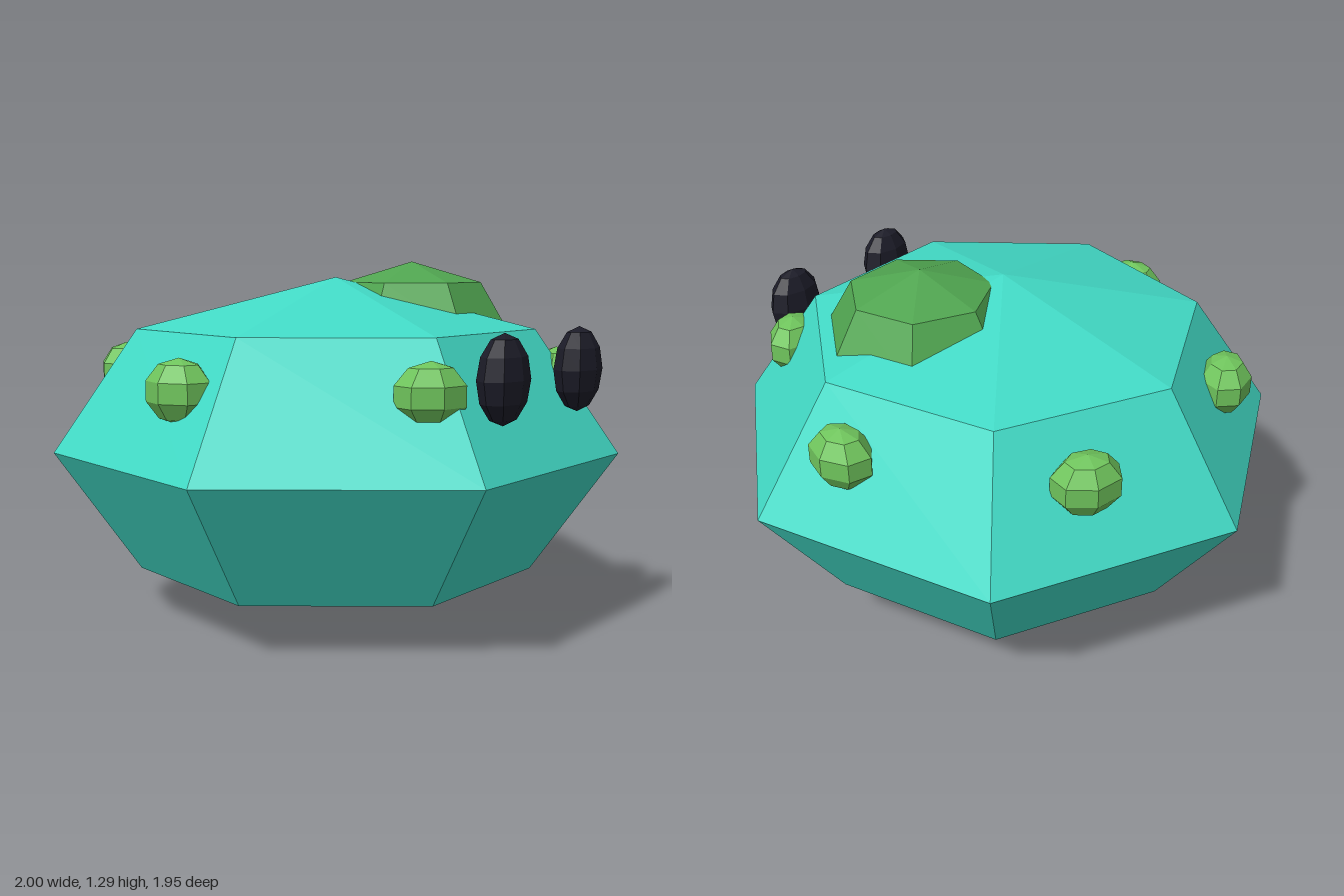
import * as THREE from 'three';

// Faceted ellipsoid, one flat normal per face; turn spins its vertices about the pole
function facetedBall(sides, rows, turn, rx, ry, rz) {
  const ball = new THREE.SphereGeometry(1, sides, rows);
  ball.rotateY(turn);
  ball.scale(rx, ry, rz);
  const flat = ball.toNonIndexed();
  flat.computeVertexNormals();
  return flat;
}

function colour(name, hex) {
  const material = new THREE.MeshStandardMaterial({ color: hex, flatShading: true });
  material.name = name;
  return material;
}

export function createModel() {
  const model = new THREE.Group();
  model.name = 'roundCreature';

  const turquoise = colour('turquoise', 0x42dac6);
  const darkGreen = colour('darkGreen', 0x50a550);
  const lightGreen = colour('lightGreen', 0x6fc45c);
  const black = colour('black', 0x1c1c28);

  const add = (name, geometry, material, x, y, z) => {
    const mesh = new THREE.Mesh(geometry, material);
    mesh.name = name;
    mesh.position.set(x, y, z);
    model.add(mesh);
    return mesh;
  };

  const centreZ = 0.048;

  // Seven-sided body with one corner at the back
  add('body', facetedBall(7, 4, -Math.PI / 2, 1.025, 0.615, 1.025), turquoise, 0, 0.615, centreZ);

  // Mossy patch sunk into the top
  add('topPatch', facetedBall(7, 4, -Math.PI / 2, 0.363, 0.256, 0.363), darkGreen, 0.245, 1.03, 0.215);

  // Six bumps round the upper slope, each flattened towards the body
  const bump = facetedBall(7, 5, Math.PI, 0.098, 0.108, 0.127);
  for (let i = 0; i < 6; i++) {
    const angle = (i * Math.PI) / 3;
    const mesh = add('bump' + (i + 1), bump, lightGreen,
      Math.cos(angle) * 0.8, 0.877, centreZ + Math.sin(angle) * 0.8);
    mesh.rotation.y = -angle;
  }

  // Eyes
  const eye = facetedBall(8, 6, 0, 0.117, 0.145, 0.07);
  for (const [name, side] of [['leftEye', 1], ['rightEye', -1]]) {
    add(name, eye, black, side * 0.246, 0.925, 0.907);
  }

  return model;
}
